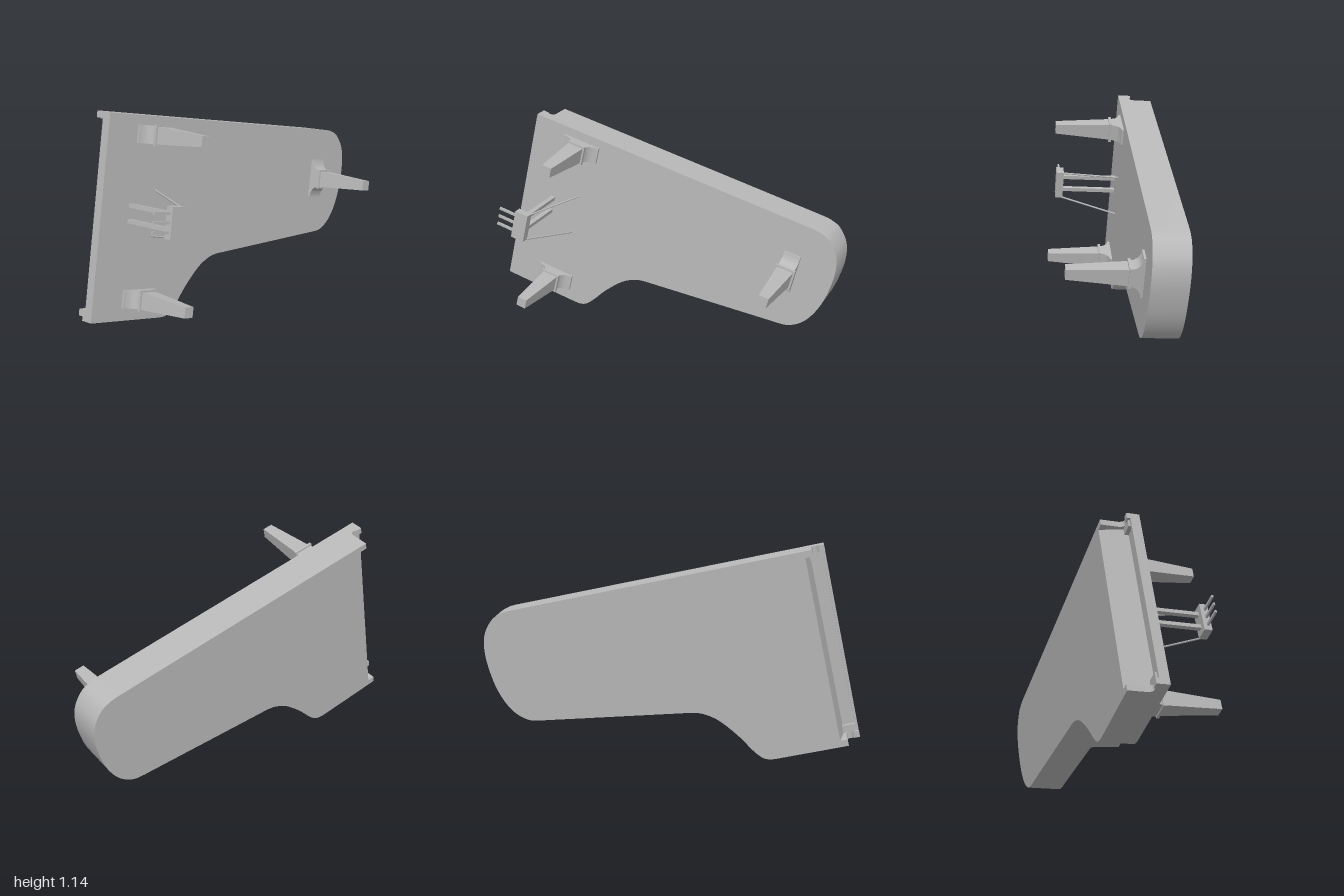
import * as THREE from 'three';
import { toCreasedNormals } from 'three/addons/utils/BufferGeometryUtils.js';

// Local frame: x = keyboard to tail, y = bass side (straight), z = towards the feet.
const DEPTH = 0.187, WIDTH = 1.058, KEY = 0.11, CHEEK = 0.035;

export function createModel() {
  const model = new THREE.Group();
  const piano = new THREE.Group();
  piano.name = 'grandPiano';
  model.add(piano);
  const grey = new THREE.MeshStandardMaterial({ color: 0xb8b8b8 });
  grey.name = 'plain grey';

  const add = (name, geometry, parent = piano) => {
    const mesh = new THREE.Mesh(geometry, grey);
    mesh.name = name;
    parent.add(mesh);
    return mesh;
  };
  const vecs = pts => pts.map(p => new THREE.Vector2(...p));
  // box given by its min and max corners
  const block = (name, a, b, parent) => add(name,
    new THREE.BoxGeometry(b[0] - a[0], b[1] - a[1], b[2] - a[2])
      .translate((a[0] + b[0]) / 2, (a[1] + b[1]) / 2, (a[2] + b[2]) / 2), parent);
  // profile in x and z, extruded across y from y0 to y1
  const profile = (name, shape, y0, y1, parent) => {
    const g = new THREE.ExtrudeGeometry(shape, { depth: y1 - y0, bevelEnabled: false, curveSegments: 10 });
    g.rotateX(Math.PI / 2).translate(0, y1, 0);
    return add(name, toCreasedNormals(g, 0.5), parent);
  };
  const rod = (name, a, b, radius) => {
    const p = new THREE.Vector3(...a), q = new THREE.Vector3(...b);
    const mesh = add(name, new THREE.CylinderGeometry(radius, radius, p.distanceTo(q), 8));
    mesh.position.copy(p).add(q).multiplyScalar(0.5);
    mesh.quaternion.setFromUnitVectors(new THREE.Vector3(0, 1, 0), q.sub(p).normalize());
  };

  // Curved case
  const bend = new THREE.SplineCurve(vecs([[0.46, 0], [0.495, 0.004], [0.53, 0.021], [0.57, 0.0685], [0.631, 0.163],
    [0.713, 0.262], [0.784, 0.313], [0.84, 0.332], [0.9, 0.341]]));
  const tail = new THREE.SplineCurve(vecs([[1.63, 0.443], [1.66, 0.447], [1.715, 0.463], [1.776, 0.516], [1.82, 0.597],
    [1.848, 0.705], [1.857, 0.85], [1.834, 0.958], [1.776, 1.03], [1.72, 1.053], [1.68, WIDTH]]));
  const outline = new THREE.Shape([new THREE.Vector2(KEY, 0),
    ...bend.getPoints(48), ...tail.getPoints(60), new THREE.Vector2(KEY, WIDTH)]);
  const caseGeo = new THREE.ExtrudeGeometry(outline, { depth: DEPTH, bevelEnabled: false });
  caseGeo.translate(0, 0, -DEPTH);
  add('case', toCreasedNormals(caseGeo, 0.5));

  // Keyboard end: cheeks, key bed, key slip, sloped fallboard and key blocks
  const cheek = new THREE.Shape();
  cheek.moveTo(0, 0);
  cheek.lineTo(0, -0.07);
  cheek.lineTo(0.03, -0.07);
  cheek.quadraticCurveTo(0.04, -0.058, 0.055, -0.062);
  cheek.quadraticCurveTo(0.07, -0.068, 0.07, -0.1);
  cheek.lineTo(0.07, -DEPTH);
  cheek.lineTo(KEY, -DEPTH);
  cheek.lineTo(KEY, 0);
  profile('trebleCheek', cheek, 0, CHEEK);
  profile('bassCheek', cheek, WIDTH - CHEEK, WIDTH);
  block('keyBed', [0, CHEEK, -0.04], [KEY, WIDTH - CHEEK, 0]);
  block('keySlip', [0, CHEEK, -0.052], [0.015, WIDTH - CHEEK, -0.04]);
  const board = new THREE.Shape(vecs([[KEY, -DEPTH], [KEY, -0.04], [0.08, -0.04], [0.085, -0.07]]));
  profile('fallboard', board, CHEEK, WIDTH - CHEEK);
  for (const y of [CHEEK, WIDTH - CHEEK - 0.04])
    block('keyBlock', [0.015, y, -0.062], [0.085, y + 0.04, -0.04]);

  // Legs: flared pedestal, collar and square taper
  const flare = new THREE.Shape();
  flare.moveTo(-0.11, 0);
  flare.lineTo(0.11, 0);
  flare.lineTo(0.11, 0.012);
  flare.quadraticCurveTo(0.055, 0.018, 0.048, 0.064);
  flare.lineTo(-0.048, 0.064);
  flare.quadraticCurveTo(-0.055, 0.018, -0.11, 0.012);
  const makeLeg = (name, x, y, turn) => {
    const leg = new THREE.Group();
    leg.name = name;
    profile('pedestal', flare, -0.046, 0.046, leg);
    block('collar', [-0.055, -0.055, 0.063], [0.055, 0.055, 0.078], leg);
    const taper = new THREE.CylinderGeometry(0.055 * Math.SQRT1_2, 0.09 * Math.SQRT1_2, 0.305, 4);
    taper.rotateY(Math.PI / 4).rotateX(Math.PI / 2).translate(0, 0, 0.2305);
    add('taperedLeg', toCreasedNormals(taper, 0.5), leg);
    leg.position.set(x, y, 0);
    leg.rotation.z = turn;
    piano.add(leg);
  };
  makeLeg('bassLeg', 0.3, 0.963, 0);
  makeLeg('trebleLeg', 0.3, 0.114, 0);
  makeLeg('tailLeg', 1.614, 0.769, Math.PI / 2);

  // Pedal lyre: box, posts, braces and three pedals
  const ly = 0.557;
  block('pedalBox', [0.15, ly - 0.082, 0.312], [0.228, ly + 0.082, 0.355]);
  for (const s of [-1, 1]) {
    const y = ly + s * 0.04;
    block('lyrePost', [0.178, y - 0.011, 0], [0.202, y + 0.011, 0.312]);
    rod('lyreBrace', [0.222, ly + s * 0.078, 0.33], [0.347, ly + s * 0.12, 0], 0.005);
  }
  for (const k of [-1, 0, 1])
    block('pedal', [0.045, ly + k * 0.048 - 0.007, 0.331], [0.15, ly + k * 0.048 + 0.007, 0.341]);

  // Tilt the whole instrument
  const zAxis = new THREE.Vector3(-0.08, 0.06, 1).normalize();
  const yAxis = new THREE.Vector3().crossVectors(zAxis, new THREE.Vector3(0.974, -0.205, 0.091)).normalize();
  const xAxis = new THREE.Vector3().crossVectors(yAxis, zAxis);
  piano.quaternion.setFromRotationMatrix(new THREE.Matrix4().makeBasis(xAxis, yAxis, zAxis));
  piano.position.set(-1, 0.106, -0.132);
  return model;
}
